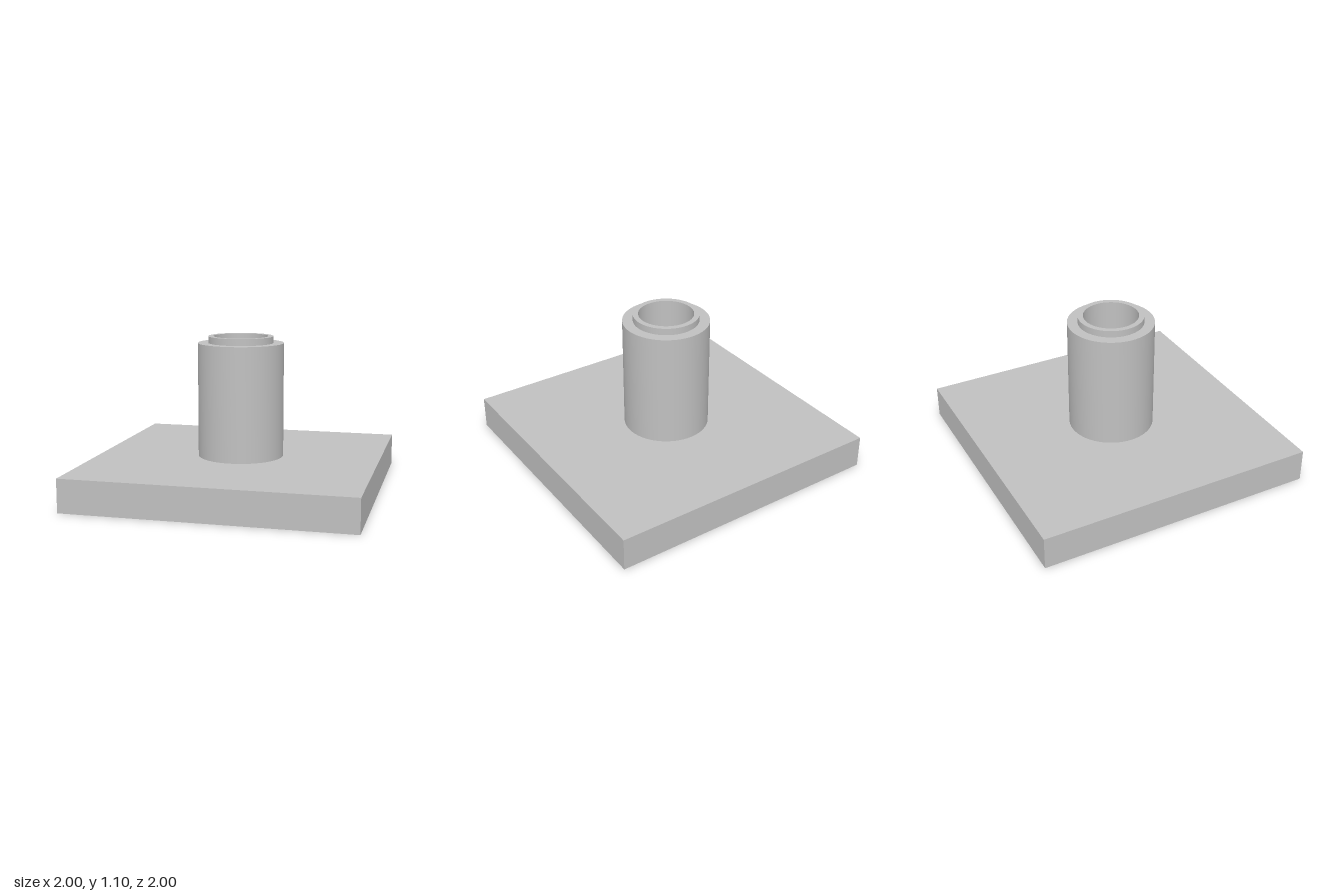
import * as THREE from 'three';
import { toCreasedNormals } from 'three/addons/utils/BufferGeometryUtils.js';

const PLATE_TOP = 0.235, SHOULDER = 1.052, RIM_TOP = 1.1;
const OUTER = 0.307, RIM = 0.233, BORE = 0.195;

export function createModel() {
  const model = new THREE.Group();
  const grey = new THREE.MeshStandardMaterial({ color: 0xc0c0c0 });
  grey.name = 'plain grey';

  // Square base plate
  const plate = new THREE.Mesh(new THREE.BoxGeometry(2, PLATE_TOP, 2), grey);
  plate.name = 'basePlate';
  plate.position.y = PLATE_TOP / 2;
  model.add(plate);

  // Hollow post: outer wall, shoulder, raised rim, then down the bore to its floor
  const profile = [
    [OUTER, PLATE_TOP], [OUTER, SHOULDER],
    [RIM, SHOULDER], [RIM, RIM_TOP],
    [BORE, RIM_TOP], [BORE, PLATE_TOP + 0.002], [0, PLATE_TOP + 0.002],
  ].map(([r, y]) => new THREE.Vector2(r, y));
  const post = new THREE.Mesh(toCreasedNormals(new THREE.LatheGeometry(profile, 72), 0.6), grey);
  post.name = 'hollowPost';
  model.add(post);

  return model;
}
